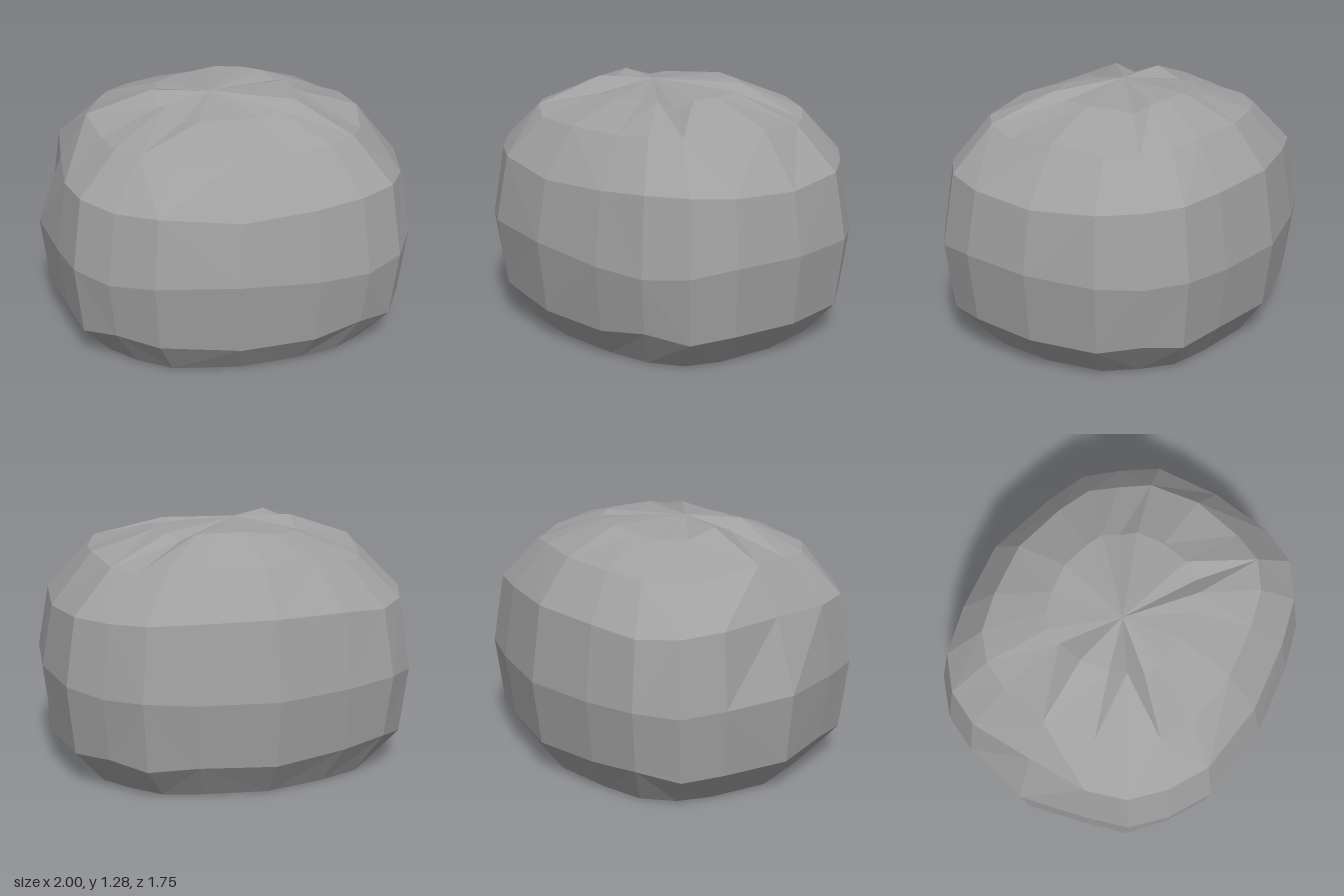
import * as THREE from 'three';

export function createModel() {
  const model = new THREE.Group();
  const stone = new THREE.MeshStandardMaterial({ color: 0xa0a0a0, flatShading: true });
  stone.name = 'stone grey';

  // Plan outline at the widest level, from the front towards +x
  const outline = [
    [0, .875], [.4, .81], [.66, .73], [.85, .59], [.95, .37],
    [1, 0], [.95, -.37], [.81, -.56], [.65, -.72], [.4, -.8],
    [0, -.88], [-.4, -.82], [-.67, -.74], [-.84, -.58], [-.93, -.37],
    [-1, 0], [-.9, .35], [-.82, .57], [-.65, .72], [-.43, .84],
  ];
  const n = outline.length;

  // Rings from the base up: width scale, depth scale, heights round the ring
  const rings = [
    { sx: .8, sz: .81, y: [0] },
    { sx: .96, sz: .95, y: [.175, .175, .22, .18, .2, .19, .185, .2, .17, .19, .18, .2, .22, .175, .19, .19, .2, .175, .22, .2] },
    { sx: 1, sz: 1, y: [.56, .53, .52, .54, .57, .56, .55, .53, .54, .53, .53, .54, .55, .53, .55, .56, .55, .55, .53, .56] },
    { sx: .94, sz: .93, y: [.88, .9, .92, .92, .9, .88, .9, .9, .91, .92, .93, .92, .9, .91, .93, .93, .92, .92, .9, .91] },
    { sx: .72, sz: .73, y: [1.13, 1.13, 1.15, 1.15, 1.12, 1.15, 1.12, 1.11, 1.13, 1.15, 1.15, 1.14, 1.12, 1.12, 1.12, 1.16, 1.13, 1.13, 1.14, 1.11] },
    { sx: .38, sz: .4, y: [1.23, 1.23, 1.25, 1.2, 1.25, 1.25, 1.25, 1.22, 1.26, 1.27, 1.27, 1.25, 1.24, 1.24, 1.23, 1.28, 1.23, 1.28, 1.2, 1.22] },
  ];

  const points = [];
  rings.forEach((r, k) => outline.forEach(([x, z], i) => {
    const dent = k === 3 && i === 15 ? .92 : 1;   // hollow in the left flank
    points.push(x * r.sx * dent, r.y[i % r.y.length], z * r.sz);
  }));
  const apex = points.length / 3;
  points.push(-.08, 1.28, .05, 0, 0, 0);

  const faces = [];
  for (let i = 0; i < n; i++) {
    const j = (i + 1) % n;
    for (let k = 0; k < rings.length - 1; k++) {
      const a = k * n + i, b = k * n + j, c = b + n, d = a + n;
      // Alternate the diagonals for an irregular faceted surface
      if ((i + k) % 3) faces.push(a, b, c, a, c, d);
      else faces.push(a, b, d, b, c, d);
    }
    // Creased crown and flat underside
    const top = (rings.length - 1) * n;
    faces.push(top + i, top + j, apex, j, i, apex + 1);
  }

  const geometry = new THREE.BufferGeometry();
  geometry.setAttribute('position', new THREE.Float32BufferAttribute(points, 3));
  geometry.setIndex(faces);
  const flat = geometry.toNonIndexed();
  flat.computeVertexNormals();

  const boulder = new THREE.Mesh(flat, stone);
  boulder.name = 'boulder';
  model.add(boulder);
  return model;
}
